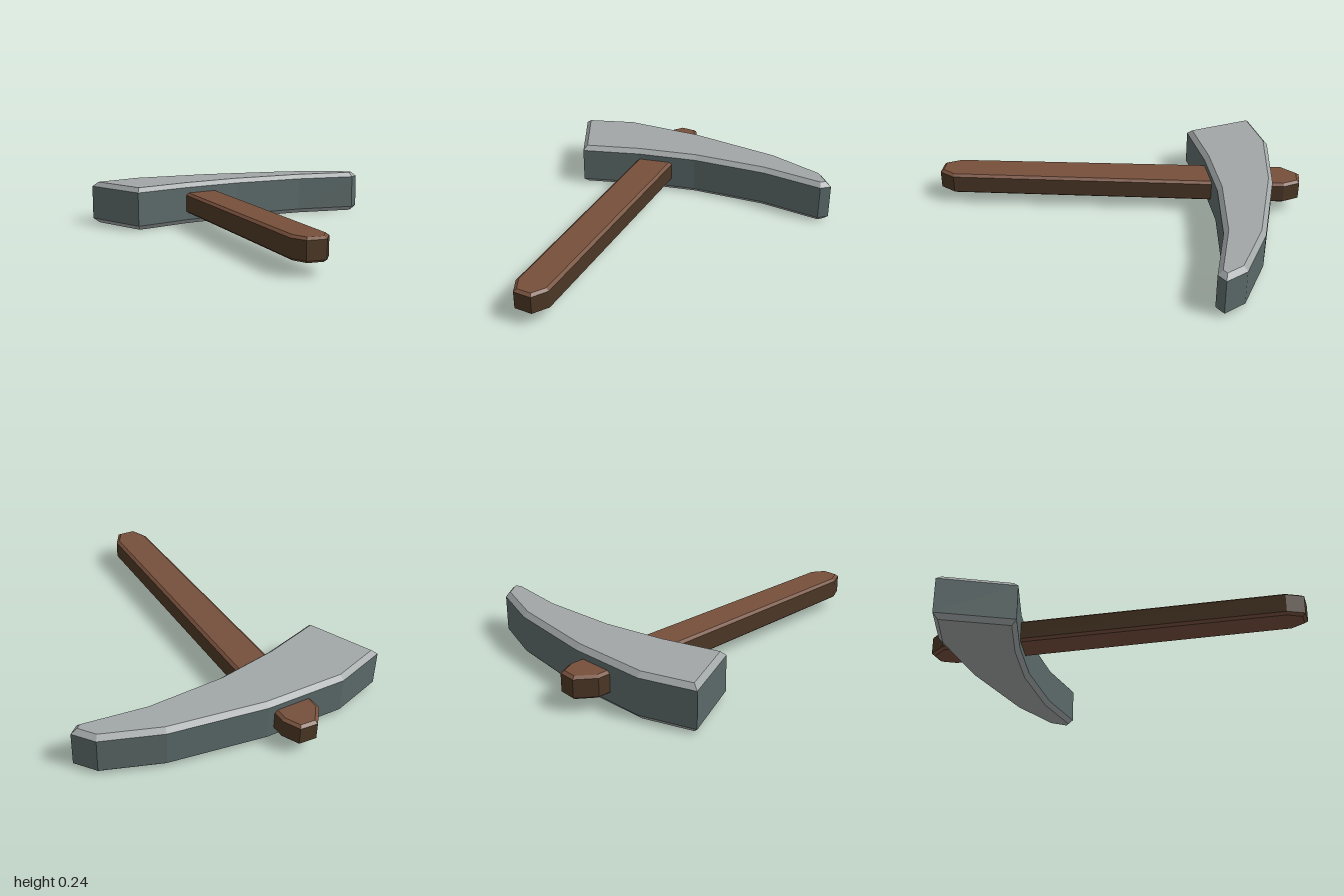
import * as THREE from 'three';

const material = (name, color) => {
  const m = new THREE.MeshStandardMaterial({ color, flatShading: true });
  m.name = name;
  return m;
};

// Moves a counter-clockwise outline inward by a constant distance with mitred corners
function inset(outline, distance) {
  const n = outline.length;
  const normal = (a, b) => {
    const d = b.clone().sub(a).normalize();
    return new THREE.Vector2(-d.y, d.x);
  };
  return outline.map((p, i) => {
    const n1 = normal(outline[(i + n - 1) % n], p);
    const n2 = normal(p, outline[(i + 1) % n]);
    return n1.clone().add(n2).multiplyScalar(distance / (1 + n1.dot(n2))).add(p);
  });
}

// Flat slab with chamfered rims: group 0 = caps and chamfers, group 1 = upright walls
function chamferedSlab(points, y0, y1, chamferWidth, chamferHeight) {
  const outer = points.map(([x, z]) => new THREE.Vector2(x, -z));
  const inner = inset(outer, chamferWidth);
  const ring = (outline, y) => outline.map((p) => [p.x, y, -p.y]);
  const rings = [
    ring(inner, y0), ring(outer, y0 + chamferHeight),
    ring(outer, y1 - chamferHeight), ring(inner, y1),
  ];
  const positions = [];
  const triangle = (a, b, c) => positions.push(...a, ...b, ...c);
  const band = (low, high) => low.forEach((a, i) => {
    const j = (i + 1) % low.length;
    triangle(a, low[j], high[j]);
    triangle(a, high[j], high[i]);
  });

  for (const [a, b, c] of THREE.ShapeUtils.triangulateShape(inner, [])) {
    triangle(rings[3][a], rings[3][b], rings[3][c]);
    triangle(rings[0][c], rings[0][b], rings[0][a]);
  }
  band(rings[0], rings[1]);
  band(rings[2], rings[3]);
  const capCount = positions.length / 3;
  band(rings[1], rings[2]);

  const geometry = new THREE.BufferGeometry();
  geometry.setAttribute('position', new THREE.Float32BufferAttribute(positions, 3));
  geometry.addGroup(0, capCount, 0);
  geometry.addGroup(capCount, positions.length / 3 - capCount, 1);
  geometry.computeVertexNormals();
  return geometry;
}

export function createModel() {
  const paleStone = material('pale stone', 0xa1a6a6);
  const slate = material('slate', 0x5a6968);
  const wood = material('wood', 0x754f3b);
  const darkWood = material('dark wood', 0x4b3725);

  const group = new THREE.Group();
  const add = (name, geometry, materials) => {
    const mesh = new THREE.Mesh(geometry, materials);
    mesh.name = name;
    group.add(mesh);
  };

  // Curved head: broad blade on one end, narrow tip on the other (x, z)
  add('head', chamferedSlab([
    [-0.815, -0.738], [-0.64, -0.373], [-0.323, -0.474], [0.005, -0.542],
    [0.42, -0.567], [0.767, -0.532], [0.815, -0.574], [0.73, -0.675],
    [0.418, -0.777], [-0.1, -0.841], [-0.534, -0.835],
  ], 0, 0.237, 0.024, 0.025), [paleStone, slate]);

  // Slightly tilted handle with clipped ends, running through the head
  add('handle', chamferedSlab([
    [-0.345, -0.905], [-0.29, 0.905], [-0.248, 0.993], [-0.15, 0.997],
    [-0.1, 0.915], [-0.135, -0.91], [-0.18, -0.995], [-0.275, -1],
  ], 0.063, 0.18, 0.016, 0.012), [wood, darkWood]);

  return group;
}
